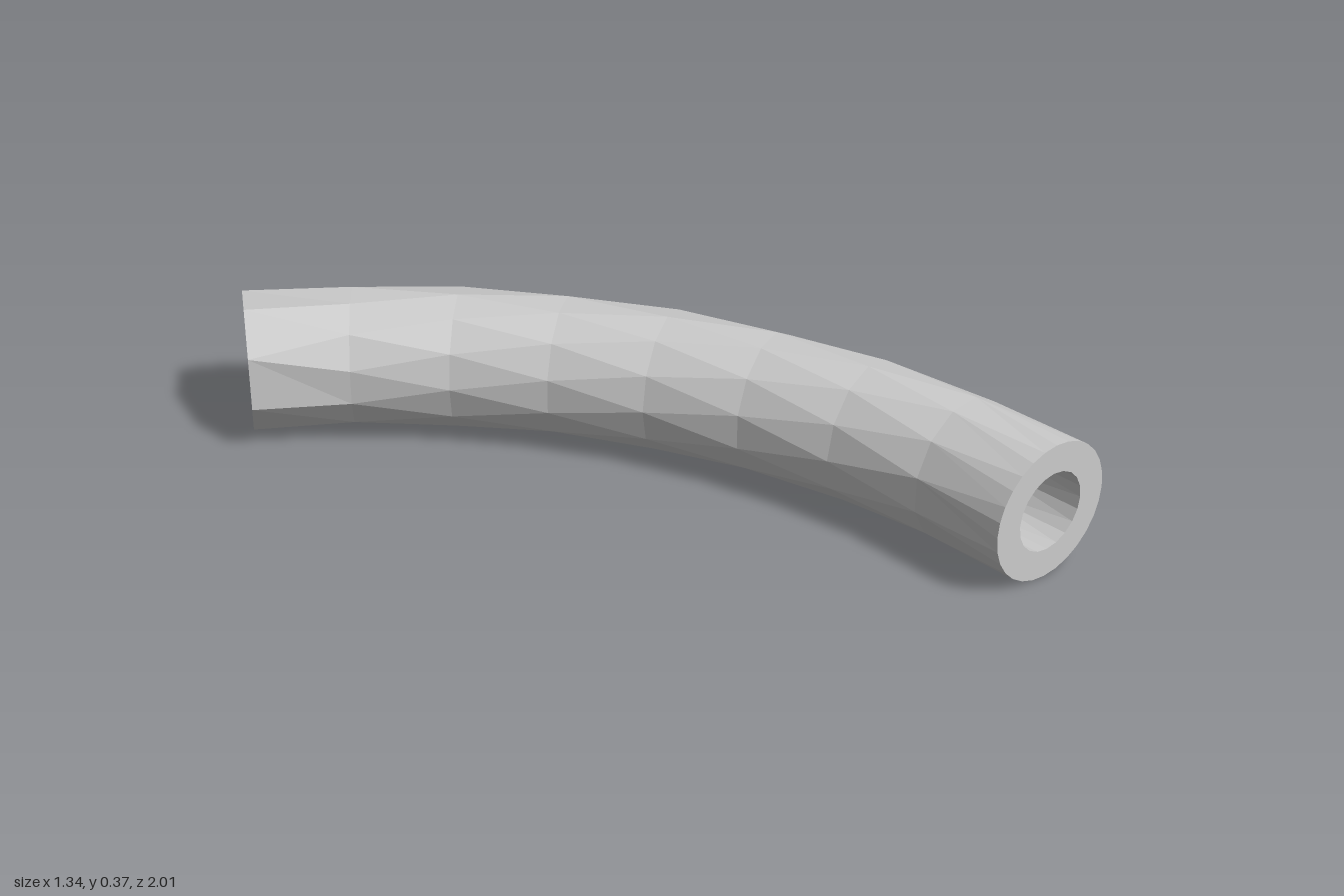
import * as THREE from 'three';

const BEND = 2.14;           // radius of the bend
const SWEEP = Math.PI / 3;   // the pipe turns 60 degrees
const OUTER = 0.184, BORE = 0.106;

// One ring of points across the pipe at fraction t of the bend (0 = front end)
function ring(t, radius, sides, shift) {
  const bend = t * SWEEP;
  const points = [], angles = [];
  for (let i = 0; i <= sides; i++) {
    const a = (i + shift) / sides * Math.PI * 2;
    const reach = BEND + radius * Math.cos(a);
    angles.push(a);
    points.push([
      0.49 - BEND + reach * Math.cos(bend),
      0.184 + radius * Math.sin(a),
      1 - reach * Math.sin(bend),
    ]);
  }
  return { points, angles };
}

// Triangles between two rings, which may differ in their number of sides
function stitch(a, b, out) {
  let i = 0, j = 0;
  const n = a.points.length - 1, m = b.points.length - 1;
  while (i < n || j < m) {
    const stepA = j === m || (i < n && a.angles[i + 1] <= b.angles[j + 1]);
    const next = stepA ? a.points[i + 1] : b.points[j + 1];
    out.push(...a.points[i], ...b.points[j], ...next);
    if (stepA) i++; else j++;
  }
}

function surface(name, rings) {
  const positions = [];
  for (let k = 0; k + 1 < rings.length; k++) stitch(rings[k], rings[k + 1], positions);
  const geometry = new THREE.BufferGeometry();
  geometry.setAttribute('position', new THREE.Float32BufferAttribute(positions, 3));
  geometry.computeVertexNormals();
  const material = new THREE.MeshStandardMaterial({ color: 0xcccccc, flatShading: true });
  const mesh = new THREE.Mesh(geometry, material);
  mesh.name = name;
  return mesh;
}

// Rings along the bend: round at the front, coarse and staggered towards the back
function wallRings(radius, frontSides, middleSides) {
  const steps = 8, rings = [ring(0, radius, frontSides, 0)];
  for (let k = 1; k < steps; k++) {
    rings.push(ring(k / steps, radius, middleSides, k % 2 ? 0.5 : 0));
  }
  rings.push(ring(1, radius, 8, 0.36));
  return rings;
}

export function createModel() {
  const group = new THREE.Group();
  group.name = 'curvedPipe';

  const outer = wallRings(OUTER, 28, 12);
  const inner = wallRings(BORE, 20, 10).reverse();

  group.add(surface('outerWall', outer));
  group.add(surface('bore', inner));

  // Flat rims closing the wall at both ends
  group.add(surface('backRim', [outer[outer.length - 1], inner[0]]));
  group.add(surface('frontRim', [inner[inner.length - 1], outer[0]]));
  return group;
}
